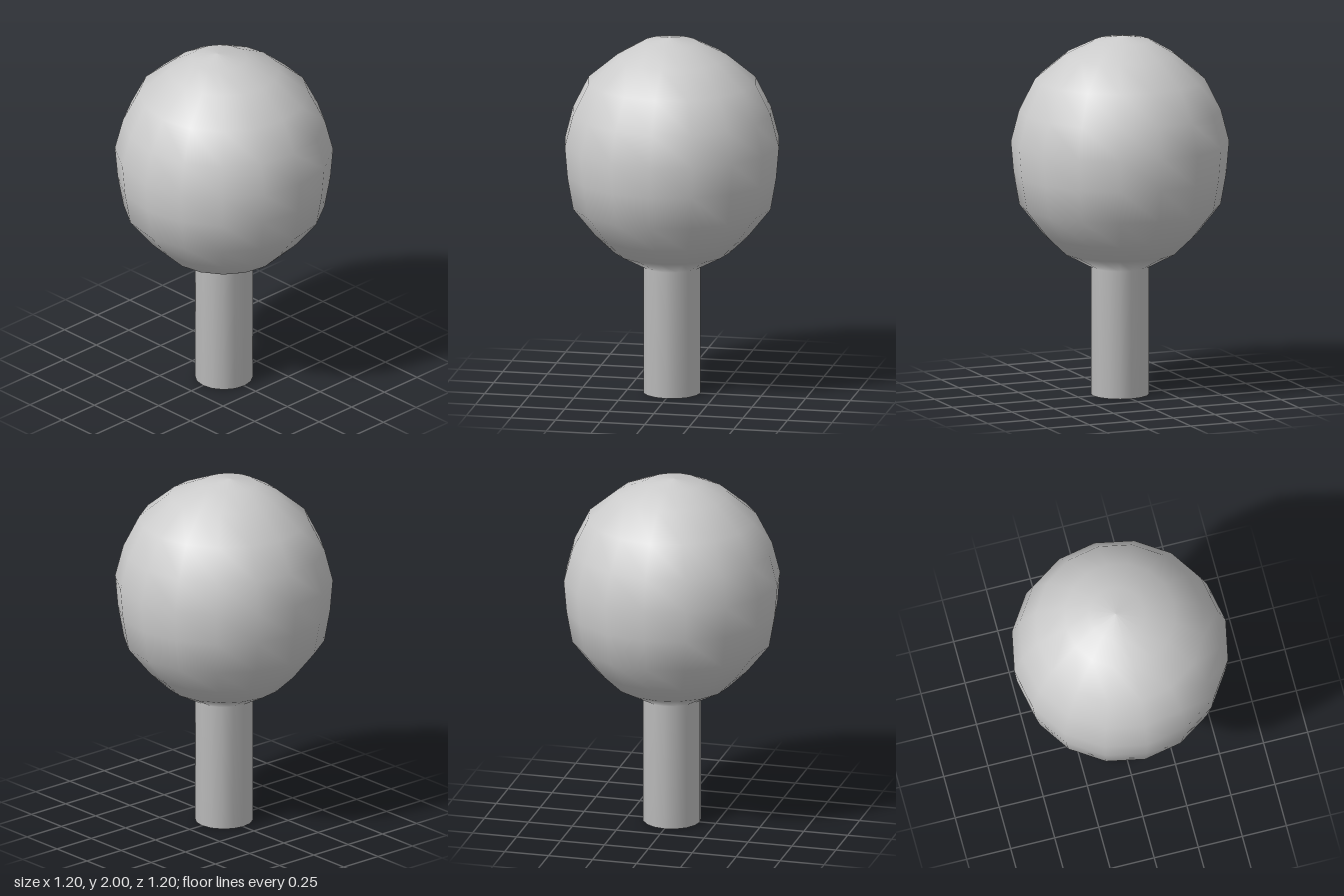
import * as THREE from 'three';

export function createModel() {
  const model = new THREE.Group();
  model.name = 'roundTree';

  // Profile from the stem's base up to the crown's tip: [radius, height]
  const profile = [
    [0, 0], [0.16, 0], [0.16, 0.715],               // stem
    [0.32, 0.8], [0.425, 0.9], [0.553, 1.06],       // underside of the crown
    [0.585, 1.24], [0.6, 1.415], [0.555, 1.59],     // widest part
    [0.467, 1.765], [0.305, 1.9], [0.155, 1.975], [0, 2], // top
  ].map(([r, y]) => new THREE.Vector2(r, y));

  // One continuous 16-sided skin with smooth normals
  const geometry = new THREE.LatheGeometry(profile, 16);

  // The tip leans slightly off the axis
  const pos = geometry.attributes.position;
  for (let i = 0; i < pos.count; i++) {
    const lean = THREE.MathUtils.clamp((pos.getY(i) - 1.9) / 0.1, 0, 1);
    pos.setX(i, pos.getX(i) - 0.03 * lean);
    pos.setZ(i, pos.getZ(i) + 0.02 * lean);
  }

  const material = new THREE.MeshStandardMaterial({ color: 0xcccccc });
  const skin = new THREE.Mesh(geometry, material);
  skin.name = 'crownAndStem';
  model.add(skin);
  return model;
}
